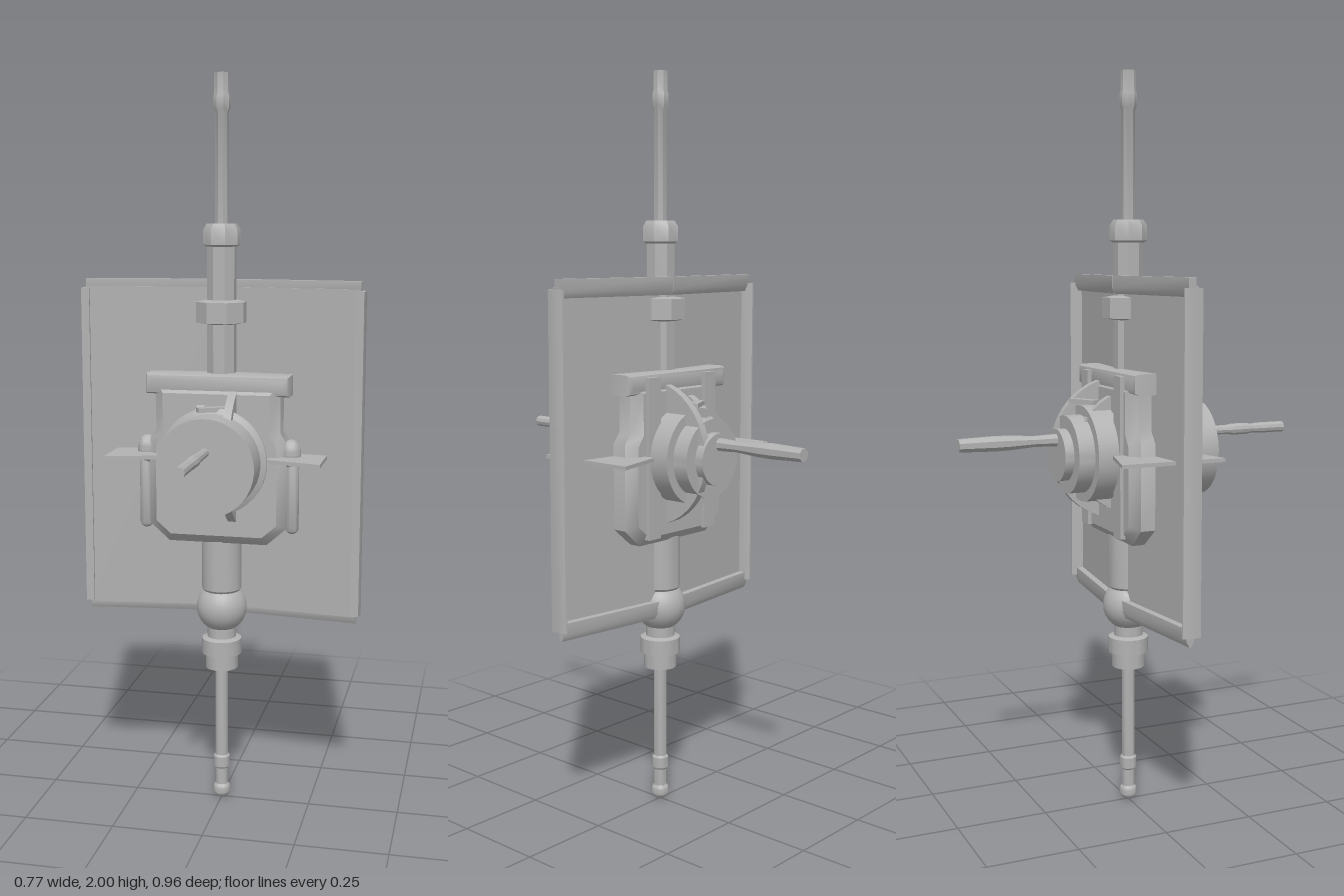
import * as THREE from 'three';
import { toCreasedNormals } from 'three/addons/utils/BufferGeometryUtils.js';

export function createModel() {
  const model = new THREE.Group();
  const grey = new THREE.MeshStandardMaterial({ color: 0xb2b2b2 });
  grey.name = 'plain grey';
  const sheetGrey = new THREE.MeshStandardMaterial({ color: 0xb0b0b0, side: THREE.DoubleSide });
  sheetGrey.name = 'sheet grey';

  const add = (name, geo, x = 0, y = 0, z = 0, mat = grey) => {
    const mesh = new THREE.Mesh(toCreasedNormals(geo, 0.6), mat);
    mesh.name = name;
    mesh.position.set(x, y, z);
    model.add(mesh);
    return mesh;
  };
  const lathe = (pts, sides) =>
    new THREE.LatheGeometry(pts.map(([r, y]) => new THREE.Vector2(r, y)), sides, Math.PI / sides);
  const polygon = (pts) => new THREE.Shape(pts.map(([x, y]) => new THREE.Vector2(x, y)));
  const box = (w, h, d) => new THREE.BoxGeometry(w, h, d);

  // Upper mast with its collars and thin antenna
  add('upperMast', lathe([
    [0, 1.15], [0.04, 1.15], [0.04, 1.35], [0.07, 1.355], [0.07, 1.41], [0.04, 1.415], [0.04, 1.555],
    [0.05, 1.56], [0.05, 1.6], [0.04, 1.615], [0.018, 1.615], [0.018, 1.9], [0.023, 1.91],
    [0.023, 1.94], [0.02, 1.95], [0.02, 2], [0, 2]], 8));

  // Lower mast, ball joint, collars and probe
  add('lowerMast', lathe([
    [0, 0.39], [0.045, 0.39], [0.045, 0.43], [0.055, 0.432], [0.055, 0.475], [0.04, 0.48],
    [0.04, 0.6], [0.055, 0.62], [0.055, 0.78], [0, 0.78]], 20));
  add('ballJoint', new THREE.SphereGeometry(0.07, 24, 16), 0, 0.565, 0);
  add('lowerProbe', lathe([
    [0, 0.03], [0.018, 0.03], [0.018, 0.09], [0.023, 0.095], [0.023, 0.125], [0.018, 0.13],
    [0.018, 0.4], [0, 0.4]], 12));
  add('probeTip', new THREE.SphereGeometry(0.025, 16, 12), 0, 0.025, 0);

  // Central housing, bevelled front and back
  const housing = new THREE.ExtrudeGeometry(polygon([
    [-0.125, 0.785], [0.125, 0.785], [0.165, 0.82], [0.165, 1.03], [0.145, 1.06], [0.145, 1.17],
    [-0.145, 1.17], [-0.145, 1.06], [-0.165, 1.03], [-0.165, 0.82]]),
  { depth: 0.1, bevelSize: 0.025, bevelThickness: 0.025, bevelSegments: 1 });
  add('housing', housing, 0, 0, -0.048);

  // Chamfered cap across the housing top
  const cap = new THREE.ExtrudeGeometry(polygon([
    [-0.18, 1.18], [0.18, 1.18], [0.18, 1.205], [-0.18, 1.205]]),
  { depth: 0.11, bevelSize: 0.015, bevelThickness: 0.015, bevelSegments: 2 });
  add('housingCap', cap, 0, 0, -0.055);

  // Stepped drum facing front and back
  const drum = (name, pts) => {
    const mesh = add(name, lathe(pts, 40), 0, 0.995, 0);
    mesh.rotation.x = Math.PI / 2;
  };
  drum('frontDrum', [[0, 0.05], [0.11, 0.05], [0.11, 0.085], [0.13, 0.09], [0.13, 0.1], [0.145, 0.105],
    [0.145, 0.113], [0.13, 0.12], [0.13, 0.21], [0, 0.21]]);
  drum('backDrum', [[0, -0.21], [0.07, -0.21], [0.07, -0.185], [0.105, -0.185], [0.105, -0.14],
    [0.13, -0.14], [0.13, -0.05], [0, -0.05]]);

  // Two upright discs passing through the housing
  for (const [x, r, z] of [[0.045, 0.195, -0.012], [-0.04, 0.165, -0.008]]) {
    add('uprightDisc', new THREE.CylinderGeometry(r, r, 0.022, 40), x, 1, z).rotation.z = Math.PI / 2;
  }
  // Slanted braces between the discs
  for (const z of [-0.13, 0.11]) {
    add('discBrace', box(0.085, 0.012, 0.025), 0, 1.135, z).rotation.y = 0.5;
  }

  // Front rod and flattened back rod
  const frontRod = add('frontRod', lathe([
    [0, 0.2], [0.012, 0.2], [0.013, 0.3], [0.016, 0.32], [0.016, 0.36], [0.013, 0.38],
    [0.015, 0.4], [0.015, 0.48], [0, 0.48]], 10), 0, 1.037, 0);
  frontRod.rotation.x = Math.PI / 2;
  const backRod = add('backRod', lathe([
    [0, -0.48], [0.018, -0.48], [0.021, -0.38], [0.02, -0.34], [0.015, -0.27], [0.018, -0.2], [0, -0.2]], 8),
  0, 1.035, 0);
  backRod.rotation.x = Math.PI / 2;

  for (const s of [-1, 1]) {
    // Side fins, wider towards their tips
    const fin = new THREE.ExtrudeGeometry(polygon([
      [0.14, -0.105], [0.29, -0.145], [0.29, 0.145], [0.14, 0.105]]), { depth: 0.01, bevelEnabled: false });
    fin.rotateX(Math.PI / 2);
    if (s < 0) fin.rotateY(Math.PI);
    add('sideFin', fin, 0, 1.005, 0);

    // Side canisters
    add('sideCanister', new THREE.CapsuleGeometry(0.018, 0.2, 6, 14), s * 0.202, 0.91, 0.04);
    const bulge = add('canisterBulge', new THREE.SphereGeometry(0.027, 14, 10), s * 0.198, 1.01, 0.04);
    bulge.scale.y = 1.5;

    // Rear rails
    add('rearRail', box(0.045, 0.43, 0.015), s * 0.112, 0.995, -0.075);
  }

  // Shallow V panel with a raised frame
  const halfW = 0.375, sag = 0.036, edgeZ = 0.005;
  const angle = Math.atan2(sag + edgeZ, halfW);
  const len = Math.hypot(halfW, sag + edgeZ);
  const rail = (length) => {
    const geo = new THREE.ExtrudeGeometry(polygon([
      [-0.011, -0.024], [0.011, -0.024], [0.011, 0.008], [0.003, 0.024], [-0.003, 0.024], [-0.011, 0.008]]),
    { depth: length, bevelEnabled: false });
    return geo.translate(0, 0, -length / 2);
  };
  for (const s of [-1, 1]) {
    const wing = new THREE.Group();
    wing.name = 'panelHalf';
    wing.position.set(0, 1.005, -sag);
    wing.rotation.y = -s * angle;
    const part = (name, geo, x, y, z, mat = grey) => {
      const mesh = add(name, geo, x, y, z, mat);
      wing.add(mesh);
      return mesh;
    };
    part('panelSheet', box(len, 0.885, 0.008), s * len / 2, 0, 0.012, sheetGrey);
    for (const t of [-1, 1]) {
      const bar = rail(len);
      bar.rotateZ(Math.PI / 2).rotateY(Math.PI / 2).rotateX(Math.PI / 2);
      part('frameRail', bar, s * len / 2, t * 0.439, 0);
    }
    const post = rail(0.875).rotateX(Math.PI / 2).rotateX(Math.PI);
    if (post.boundingBox === null) post.computeBoundingBox();
    part('framePost', post, s * len, 0, 0);
    model.add(wing);
  }
  return model;
}
